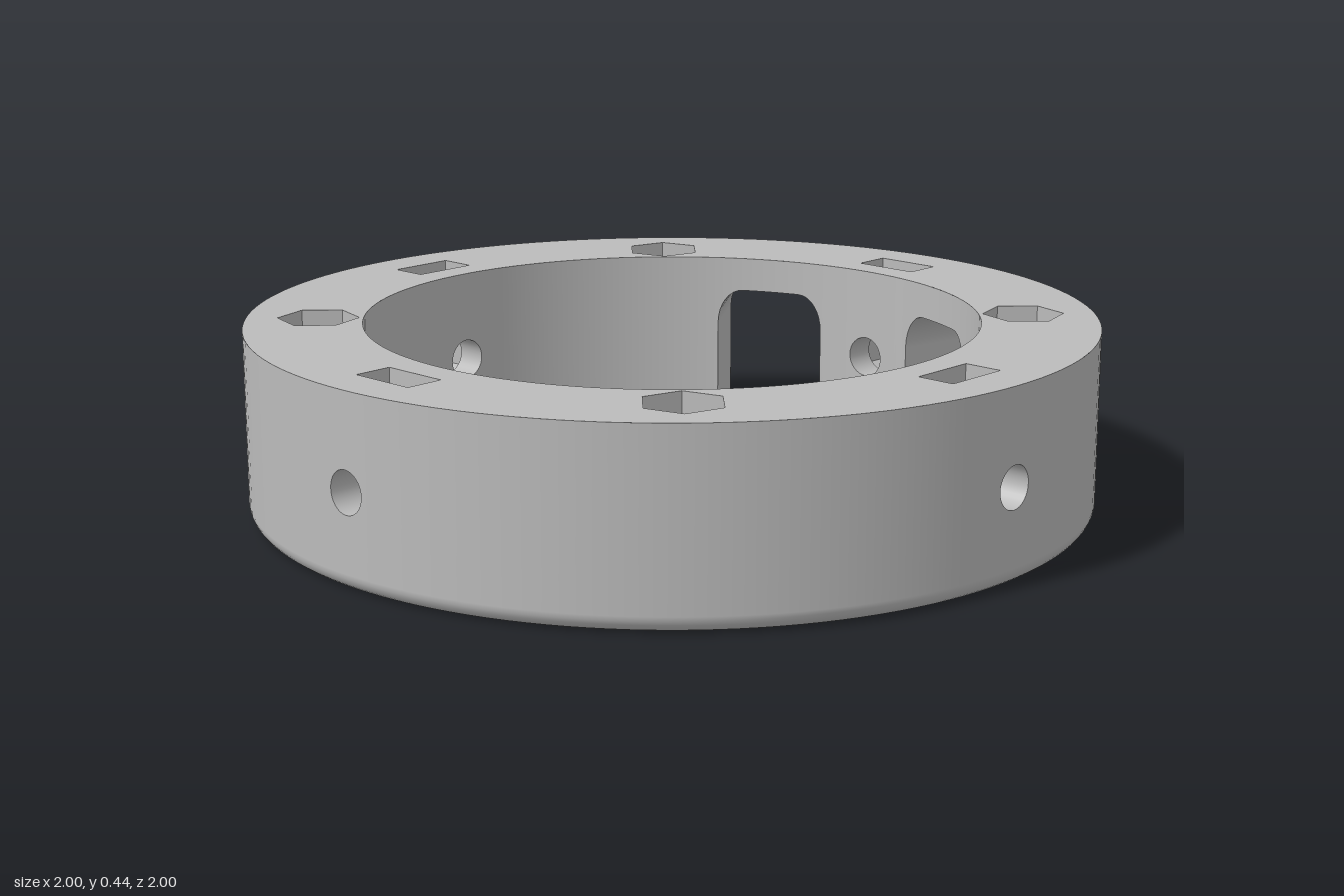
import * as THREE from 'three';

const RO = 1, RI = 0.724, H = 0.445;           // ring radii and height
const FIL = 0.04;                              // rounding of the lower outer edge
const HOLE = 0.05, HOLE_Y = 0.222;             // screw holes
const NUT = 0.096, SLOT_IN = 0.8, SLOT_OUT = 0.892, BOLT_R = 0.83, HEX_FLOOR = 0.245;
const A = 11.25, B = 33.75, NOTCH_H = 0.36, CONVEX = 0.04, CONCAVE = 0.09;
const rad = THREE.MathUtils.degToRad;
const QUARTERS = [0, 90, 180, 270].map(rad), DIAGONALS = [45, 135, 225, 315].map(rad);

// Vertex in a frame turned by t from the back (-z): u sideways, y up, r outward
function vert(t, u, y, r, nu, ny, nr) {
  const s = Math.sin(t), c = Math.cos(t);
  const turn = (a, b, d) => new THREE.Vector3(c * a + s * d, b, s * a - c * d);
  return { p: turn(u, y, r), n: turn(nu, ny, nr).normalize() };
}

// Adds a triangle wound to agree with its normals
function tri(out, a, b, c) {
  const f = b.p.clone().sub(a.p).cross(c.p.clone().sub(a.p));
  if (f.length() < 1e-9) return;
  const up = a.n.clone().add(b.n).add(c.n);
  out.push(...(f.dot(up) < 0 ? [a, c, b] : [a, b, c]));
}

function quad(out, a, b, c, d) {
  tri(out, a, b, c);
  tri(out, a, c, d);
}

// Surface between rows of vertices, leaving out the skipped columns
function grid(out, rows, skip = () => false) {
  for (let j = 0; j + 1 < rows.length; j++)
    for (let i = 0; i + 1 < rows[j].length; i++)
      if (!skip(i, j)) quad(out, rows[j][i], rows[j][i + 1], rows[j + 1][i + 1], rows[j + 1][i]);
}

// Flat outline with openings, each 2D point placed by map
function panel(out, contour, holes, map) {
  const pts = [contour, ...holes].flat().map(map);
  for (const [a, b, c] of THREE.ShapeUtils.triangulateShape(contour, holes)) tri(out, pts[a], pts[b], pts[c]);
}

const v2 = (x, y) => new THREE.Vector2(x, y);
const circle = (cx, cy, r, n = 32, start = 0) => Array.from({ length: n }, (_, i) => {
  const a = start + i / n * Math.PI * 2;
  return v2(cx + r * Math.cos(a), cy + r * Math.sin(a));
});

// Lower outline of the ring unrolled: angle t, height y, direction into the material
function lowerOutline() {
  const half = [], a = rad(A), b = rad(B);
  const flat = (from, to, y) => {
    const n = Math.max(1, Math.ceil((to - from) / rad(2.6)));
    for (let i = 0; i <= n; i++) half.push({ t: from + (to - from) * i / n, y, nt: 0, ny: 1 });
  };
  const corner = (t, y, r, from, to, sign) => {
    for (let i = 0; i <= 8; i++) {
      const g = rad(from + (to - from) * i / 8), c = Math.cos(g), s = Math.sin(g);
      half.push({ t: t + r * c, y: y + r * s, nt: sign * c, ny: sign * s });
    }
  };
  flat(0, rad(5), 0);
  flat(rad(5), a - CONVEX, 0);
  corner(a - CONVEX, CONVEX, CONVEX, -90, 0, -1);
  corner(a + CONCAVE, NOTCH_H - CONCAVE, CONCAVE, 180, 90, 1);
  flat(a + CONCAVE, b - CONCAVE, NOTCH_H);
  corner(b - CONCAVE, NOTCH_H - CONCAVE, CONCAVE, 90, 0, 1);
  corner(b + CONVEX, CONVEX, CONVEX, 180, 270, -1);
  const stops = [41, 49, 85, 95, 131, 139, 175, 180].map(rad);
  [b + CONVEX, ...stops].forEach((s, i) => i < stops.length && flat(s, stops[i], 0));
  const other = half.slice().reverse().map(q => ({ ...q, t: -q.t, nt: -q.nt }));
  return [...other, ...half];
}

export function createModel() {
  const group = new THREE.Group();
  const grey = new THREE.MeshStandardMaterial({ color: 0xbbbbbb });
  grey.name = 'grey';
  const add = (name, list) => {
    const geo = new THREE.BufferGeometry();
    geo.setAttribute('position', new THREE.Float32BufferAttribute(list.flatMap(v => v.p.toArray()), 3));
    geo.setAttribute('normal', new THREE.Float32BufferAttribute(list.flatMap(v => v.n.toArray()), 3));
    const mesh = new THREE.Mesh(geo, grey);
    mesh.name = name;
    group.add(mesh);
  };

  const line = lowerOutline();
  // True where a column lies within w degrees of one of the given directions
  const near = (t, dirs, w) => dirs.some(d => Math.abs(Math.atan2(Math.sin(t - d), Math.cos(t - d))) < rad(w));
  const mid = i => (line[i].t + line[i + 1].t) / 2;
  const atScrew = i => near(mid(i), QUARTERS, 5);
  const atBolt = i => near(mid(i), DIAGONALS, 4);
  const arc = (w, n = 4) => Array.from({ length: n + 1 }, (_, i) => rad(-w + 2 * w * i / n));

  // Outer and inner walls, with a pierced panel at each side screw
  for (const [name, R, low, dir] of [['outerWall', RO, FIL, 1], ['innerWall', RI, 0, -1]]) {
    const out = [];
    const on = (t, y) => vert(t, 0, y, R, 0, 0, dir);
    grid(out, [
      line.map(q => on(q.t + q.nt * low, q.y + q.ny * low)),
      line.map(q => on(q.t + q.nt * low, H)),
    ], atScrew);
    const edge = arc(5);
    const contour = [...edge.map(t => v2(t, low)), ...edge.slice().reverse().map(t => v2(t, H))];
    const hole = circle(0, HOLE_Y, HOLE).map(q => v2(Math.asin(q.x / R), q.y));
    for (const d of QUARTERS) panel(out, contour, [hole], q => on(d + q.x, q.y));
    add(name, out);
  }

  // Underside, notch walls and ceilings
  const under = [];
  grid(under, [RI, RO - FIL].map(R => line.map(q => vert(q.t, 0, q.y, R, -q.nt, -q.ny, 0))), atBolt);
  const wedge = [...arc(4).map(t => v2(RI * Math.sin(t), RI * Math.cos(t))),
    ...arc(4).reverse().map(t => v2((RO - FIL) * Math.sin(t), (RO - FIL) * Math.cos(t)))];
  for (const d of DIAGONALS)
    panel(under, wedge, [circle(0, BOLT_R, HOLE)], q => vert(d, q.x, 0, q.y, 0, -1, 0));
  add('undersideAndNotches', under);

  // Rounded lower edge that follows the notches
  const round = [];
  grid(round, Array.from({ length: 7 }, (_, j) => {
    const g = j / 6 * Math.PI / 2, c = Math.cos(g), s = Math.sin(g), k = FIL * (1 - c);
    return line.map(q => vert(q.t + q.nt * k, 0, q.y + q.ny * k, RO - FIL + FIL * s, -q.nt * c, -q.ny * c, s));
  }));
  add('roundedEdge', round);

  // Top face with openings for the nuts
  const top = [];
  const hex = circle(0, 0, NUT, 6).map(q => v2(q.y, BOLT_R + q.x));
  const half = NUT * Math.cos(Math.PI / 6);
  const slot = [v2(-half, SLOT_IN), v2(half, SLOT_IN), v2(half, SLOT_OUT), v2(-half, SLOT_OUT)];
  const turned = (pts, t) => pts.map(q => {
    const w = vert(t, q.x, 0, q.y, 0, 1, 0).p;
    return v2(w.x, w.z);
  });
  panel(top, circle(0, 0, RO, 144), [circle(0, 0, RI, 144),
    ...DIAGONALS.map(d => turned(hex, d)), ...QUARTERS.map(d => turned(slot, d))],
  q => ({ p: new THREE.Vector3(q.x, H, q.y), n: new THREE.Vector3(0, 1, 0) }));
  add('topFace', top);

  // Hexagonal nut pockets and the vertical screw holes below them
  const pockets = [], bores = [];
  const ring = [...circle(0, 0, 1), v2(1, 0)];
  for (const d of DIAGONALS) {
    hex.forEach((a, i) => {
      const b = hex[(i + 1) % 6];
      const nu = -(a.x + b.x), nr = 2 * BOLT_R - a.y - b.y;
      const at = (q, y) => vert(d, q.x, y, q.y, nu, 0, nr);
      quad(pockets, at(a, HEX_FLOOR), at(b, HEX_FLOOR), at(b, H), at(a, H));
    });
    panel(pockets, hex, [circle(0, BOLT_R, HOLE)], q => vert(d, q.x, HEX_FLOOR, q.y, 0, 1, 0));
    grid(bores, [0, HEX_FLOOR].map(y => ring.map(q => vert(d, q.x * HOLE, y, BOLT_R + q.y * HOLE, -q.x, 0, -q.y))));
  }
  add('hexagonPockets', pockets);
  add('verticalScrewHoles', bores);

  // Upright nut slots with pointed floors, and the sideways screw holes through them
  const slots = [], sideBores = [];
  const profile = [v2(-half, H), v2(-half, HOLE_Y - NUT / 2), v2(0, HOLE_Y - NUT), v2(half, HOLE_Y - NUT / 2), v2(half, H)];
  for (const d of QUARTERS) {
    for (let i = 0; i < 4; i++) {
      const a = profile[i], b = profile[i + 1];
      const at = (q, r) => vert(d, q.x, q.y, r, a.y - b.y, b.x - a.x, 0);
      quad(slots, at(a, SLOT_IN), at(b, SLOT_IN), at(b, SLOT_OUT), at(a, SLOT_OUT));
    }
    for (const [r, n] of [[SLOT_IN, 1], [SLOT_OUT, -1]])
      panel(slots, profile, [circle(0, HOLE_Y, HOLE)], q => vert(d, q.x, q.y, r, 0, 0, n));
    const loop = reach => ring.map(q => vert(d, q.x * HOLE, HOLE_Y + q.y * HOLE, reach(q.x * HOLE), -q.x, -q.y, 0));
    const curved = R => loop(u => Math.sqrt(R * R - u * u));
    grid(sideBores, [curved(RI), loop(() => SLOT_IN)]);
    grid(sideBores, [loop(() => SLOT_OUT), curved(RO)]);
  }
  add('nutSlots', slots);
  add('sideScrewHoles', sideBores);

  return group;
}
